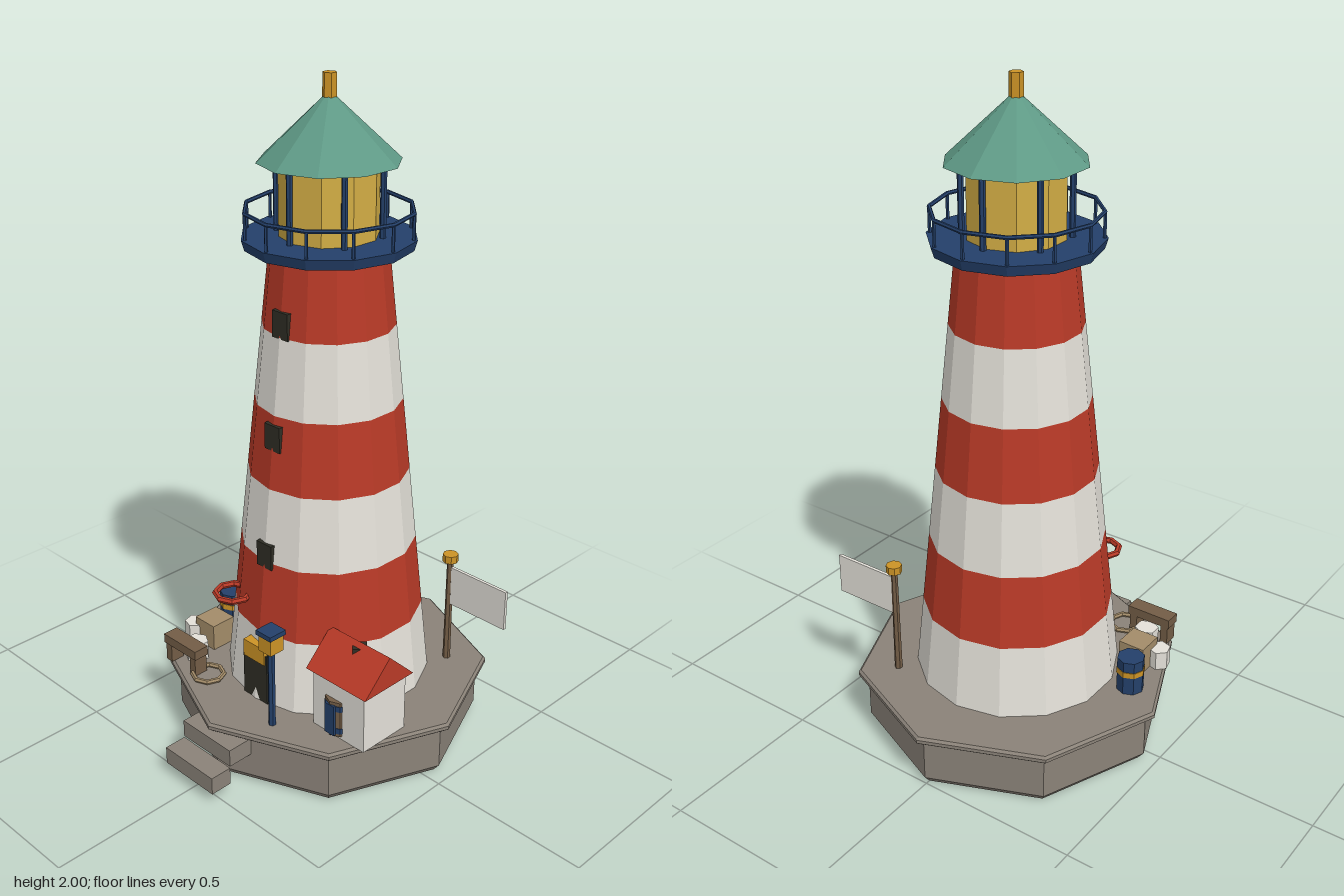
import * as THREE from 'three';

const mat = (name, color) => Object.assign(new THREE.MeshStandardMaterial({ color }), { name });
const red = mat('red paint', 0xb93a27);
const white = mat('white paint', 0xe4e1d9);
const stone = mat('stone', 0x8a8278);
const navy = mat('navy metal', 0x24406a);
const gold = mat('gold', 0xcc9326);
const glass = mat('lantern glass', 0xd3ae45);
const teal = mat('teal roof', 0x5f9a86);
const dark = mat('dark opening', 0x2f2e25);
const brown = mat('brown wood', 0x735d46);
const tan = mat('tan wood', 0xa38c69);

const Z = -0.04;      // tower axis
const GROUND = 0.19;  // top of the base

export function createModel() {
  const model = new THREE.Group();
  model.name = 'lighthouse';

  // Adds a faceted mesh
  const add = (name, geo, material, x = 0, y = 0, z = 0, parent = model) => {
    const g = geo.index ? geo.toNonIndexed() : geo;
    g.computeVertexNormals();
    const mesh = new THREE.Mesh(g, material);
    mesh.name = name;
    mesh.position.set(x, y, z);
    parent.add(mesh);
    return mesh;
  };
  const group = (name, x = 0, y = 0, z = 0) => {
    const g = new THREE.Group();
    g.name = name;
    g.position.set(x, y, z);
    model.add(g);
    return g;
  };
  // Box and prism given by their bottom y
  const box = (name, m, w, h, d, x, y, z, parent) =>
    add(name, new THREE.BoxGeometry(w, h, d), m, x, y + h / 2, z, parent);
  const prism = (name, m, rBottom, rTop, h, sides, x, y, z, parent) =>
    add(name, new THREE.CylinderGeometry(rTop, rBottom, h, sides), m, x, y + h / 2, z, parent);
  const ring = (name, m, r, tube, sides, x, y, z, parent) =>
    add(name, new THREE.TorusGeometry(r, tube, 6, sides).rotateX(Math.PI / 2), m, x, y, z, parent);

  // Octagonal base with overhanging cap
  const profile = [[0, 0], [0.445, 0], [0.465, 0.025], [0.465, 0.165], [0.487, 0.165],
    [0.495, 0.172], [0.495, 0.183], [0.487, GROUND], [0, GROUND]];
  add('base', new THREE.LatheGeometry(profile.map(p => new THREE.Vector2(...p)), 8), stone, 0, 0, Z);
  box('upperStep', stone, 0.205, 0.055, 0.095, 0, 0.1, 0.4175);
  box('lowerStep', stone, 0.205, 0.055, 0.07, 0, 0.04, 0.5);

  // Striped tapering tower
  const radius = y => 0.311 - (y - GROUND) * 0.1068;
  const bands = [GROUND, 0.415, 0.64, 0.865, 1.085, 1.31, 1.54];
  for (let i = 0; i < 6; i++) {
    prism('towerBand', i % 2 ? red : white, radius(bands[i]), radius(bands[i + 1]),
      bands[i + 1] - bands[i], 14, 0, bands[i], Z);
  }
  for (const y of [0.66, 1.02, 1.345]) {
    box('towerWindow', dark, 0.06, 0.078, 0.03, 0, y - 0.039, Z + radius(y) + 0.003 - 0.015);
  }

  // Entrance
  box('door', dark, 0.1, 0.165, 0.05, 0, GROUND, 0.242);
  box('doorSign', gold, 0.088, 0.055, 0.035, 0, 0.325, 0.2545);

  // Gallery with railing
  const gallery = group('gallery', 0, 0, Z);
  prism('galleryFloor', navy, 0.238, 0.247, 0.03, 12, 0, 1.533, 0, gallery);
  ring('galleryRail', navy, 0.236, 0.006, 12, 0, 1.636, 0, gallery);
  for (let i = 0; i < 12; i++) {
    const a = i * Math.PI / 6;
    prism('railPost', navy, 0.005, 0.005, 0.08, 5, 0.236 * Math.sin(a), 1.558, 0.236 * Math.cos(a), gallery);
  }

  // Lantern room, roof and finial
  const lantern = group('lantern', 0, 0, Z);
  prism('lanternGlass', glass, 0.14, 0.14, 0.215, 10, 0, 1.56, 0, lantern);
  for (let i = 0; i < 6; i++) {
    const a = i * Math.PI / 3;
    prism('lanternBar', navy, 0.009, 0.009, 0.21, 6, 0.15 * Math.sin(a), 1.56, 0.15 * Math.cos(a), lantern);
  }
  prism('lanternRoof', teal, 0.2, 0.008, 0.18, 10, 0, 1.766, 0, lantern);
  prism('finial', gold, 0.02, 0.02, 0.065, 6, 0, 1.935, 0, lantern);

  // Keeper's hut with gabled roof
  const hut = group('hut', 0.31, 0, 0.146);
  box('hutWalls', white, 0.2, 0.19, 0.172, 0, GROUND, 0, hut);
  const gable = new THREE.Shape([[-0.1, 0], [0.1, 0], [0, 0.097]].map(p => new THREE.Vector2(...p)));
  add('hutRoof', new THREE.ExtrudeGeometry(gable, { depth: 0.232, bevelEnabled: false })
    .translate(0, 0, -0.116).rotateY(Math.PI / 2), red, 0, 0.378, 0, hut);
  prism('chimney', dark, 0.03, 0.03, 0.08, 4, 0, 0.382, 0, hut);

  // Barrel against the hut
  const hutBarrel = group('hutBarrel', 0.293, 0, 0.208);
  prism('barrelBody', brown, 0.042, 0.042, 0.115, 8, 0, GROUND + 0.01, 0, hutBarrel);
  for (const y of [0.21, 0.285]) prism('barrelHoop', navy, 0.044, 0.044, 0.018, 8, 0, y, 0, hutBarrel);
  box('barrelPanel', navy, 0.036, 0.1, 0.008, 0, 0.205, 0.04, hutBarrel);

  // Barrel by the tower
  prism('barrel', navy, 0.042, 0.042, 0.112, 8, -0.37, GROUND, 0.025);
  prism('barrelBand', gold, 0.044, 0.044, 0.018, 8, -0.37, 0.25, 0.025);

  // Lamp post
  const lamp = group('lampPost', 0.13, 0, 0.322);
  prism('lampPole', navy, 0.011, 0.011, 0.26, 6, 0, GROUND, 0, lamp);
  box('lampLight', gold, 0.05, 0.052, 0.05, 0, 0.445, 0, lamp);
  box('lampCap', navy, 0.06, 0.015, 0.06, 0, 0.497, 0, lamp);

  // Flagpole
  const flag = group('flagpole', 0.262, 0, -0.304);
  prism('pole', brown, 0.012, 0.01, 0.35, 6, 0, GROUND, 0, flag);
  prism('poleKnob', gold, 0.024, 0.024, 0.024, 8, 0, 0.535, 0, flag);
  box('flagCloth', white, 0.21, 0.128, 0.01, 0.112, 0.388, 0, flag);

  // Life ring and rope coil
  ring('lifeRing', red, 0.053, 0.01, 8, -0.127, 0.487, 0.235);
  ring('ropeCoil', tan, 0.048, 0.008, 8, -0.187, GROUND + 0.008, 0.293);

  // Crate, bench and bollards
  box('crate', tan, 0.085, 0.085, 0.085, -0.323, GROUND, 0.145);
  const bench = group('bench', -0.28, 0, 0.301);
  box('benchSeat', brown, 0.147, 0.03, 0.051, 0, 0.25, 0, bench);
  for (const s of [-1, 1]) box('benchLeg', brown, 0.025, 0.062, 0.045, s * 0.056, GROUND, 0, bench);
  prism('bollard', white, 0.037, 0.037, 0.06, 6, -0.292, GROUND, 0.247);
  prism('bollard', white, 0.035, 0.035, 0.06, 6, -0.38, GROUND, 0.176).rotation.y = 0.25;

  return model;
}
